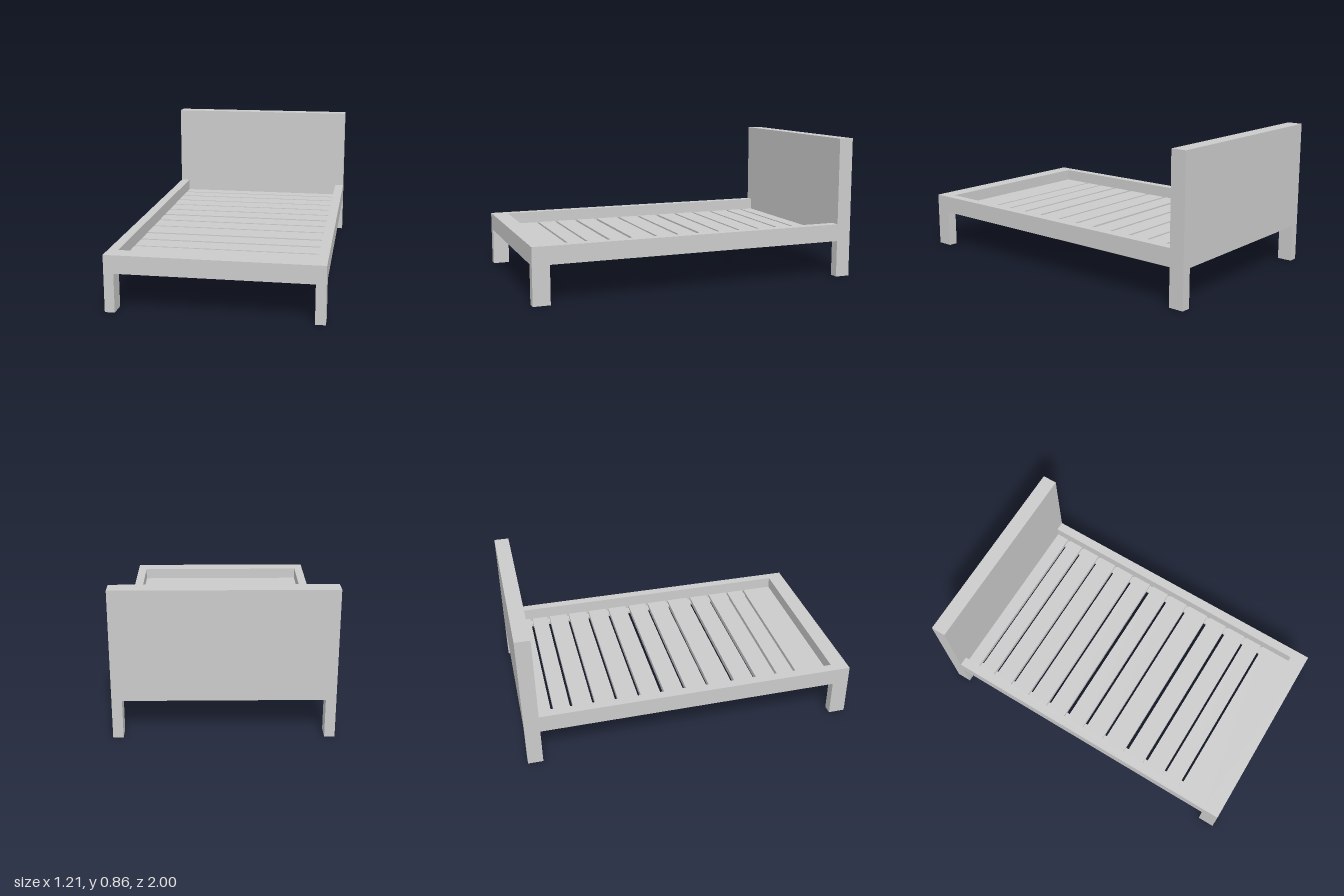
import * as THREE from 'three';

const W = 0.607, INNER = 0.55, UNDER = 0.225, RAIL_TOP = 0.33, HEAD_TOP = 0.858;
const HEAD_Z = -0.91, FOOT_Z = 0.9;

export function createModel() {
  const bed = new THREE.Group();
  bed.name = 'bedFrame';
  const material = new THREE.MeshStandardMaterial({ color: 0xcccccc });

  const add = (name, geometry) => {
    const mesh = new THREE.Mesh(geometry, material);
    mesh.name = name;
    bed.add(mesh);
  };
  // Box given by its lower and upper limits on each axis
  const box = (name, [x0, x1], [y0, y1], [z0, z1]) => {
    const g = new THREE.BoxGeometry(x1 - x0, y1 - y0, z1 - z0);
    add(name, g.translate((x0 + x1) / 2, (y0 + y1) / 2, (z0 + z1) / 2));
  };
  // End panel with its two legs, cut as one outline
  const endPanel = (name, top, z0, z1) => {
    const outline = new THREE.Shape([
      [-W, 0], [-INNER, 0], [-INNER, UNDER], [INNER, UNDER],
      [INNER, 0], [W, 0], [W, top], [-W, top],
    ].map(([x, y]) => new THREE.Vector2(x, y)));
    const g = new THREE.ExtrudeGeometry(outline, { depth: z1 - z0, bevelEnabled: false });
    add(name, g.translate(0, 0, z0));
  };

  endPanel('headboardWithLegs', HEAD_TOP, -1, HEAD_Z);
  endPanel('footboardWithLegs', RAIL_TOP, FOOT_Z, 1);

  // Side rails and the ledges that carry the slats
  for (const [side, s] of [['left', 1], ['right', -1]]) {
    const span = (a, b) => [Math.min(s * a, s * b), Math.max(s * a, s * b)];
    box(side + 'Rail', span(INNER, W), [UNDER, RAIL_TOP], [HEAD_Z, FOOT_Z]);
    box(side + 'Ledge', span(0.503, INNER), [UNDER, 0.24], [HEAD_Z, FOOT_Z]);
  }

  // Slats lie between narrow gaps, listed as start and end in z
  const gaps = [
    [-0.828, -0.812], [-0.713, -0.696], [-0.579, -0.563], [-0.442, -0.425],
    [-0.302, -0.284], [-0.164, -0.14], [-0.022, -0.003], [0.125, 0.142],
    [0.284, 0.306], [0.428, 0.447], [0.57, 0.585], [0.693, 0.708],
  ];
  let start = HEAD_Z;
  [...gaps, [FOOT_Z, FOOT_Z]].forEach(([z0, z1], i) => {
    box('slat' + (i + 1), [-INNER, INNER], [UNDER + 0.001, 0.258], [start, z0]);
    start = z1;
  });

  return bed;
}
